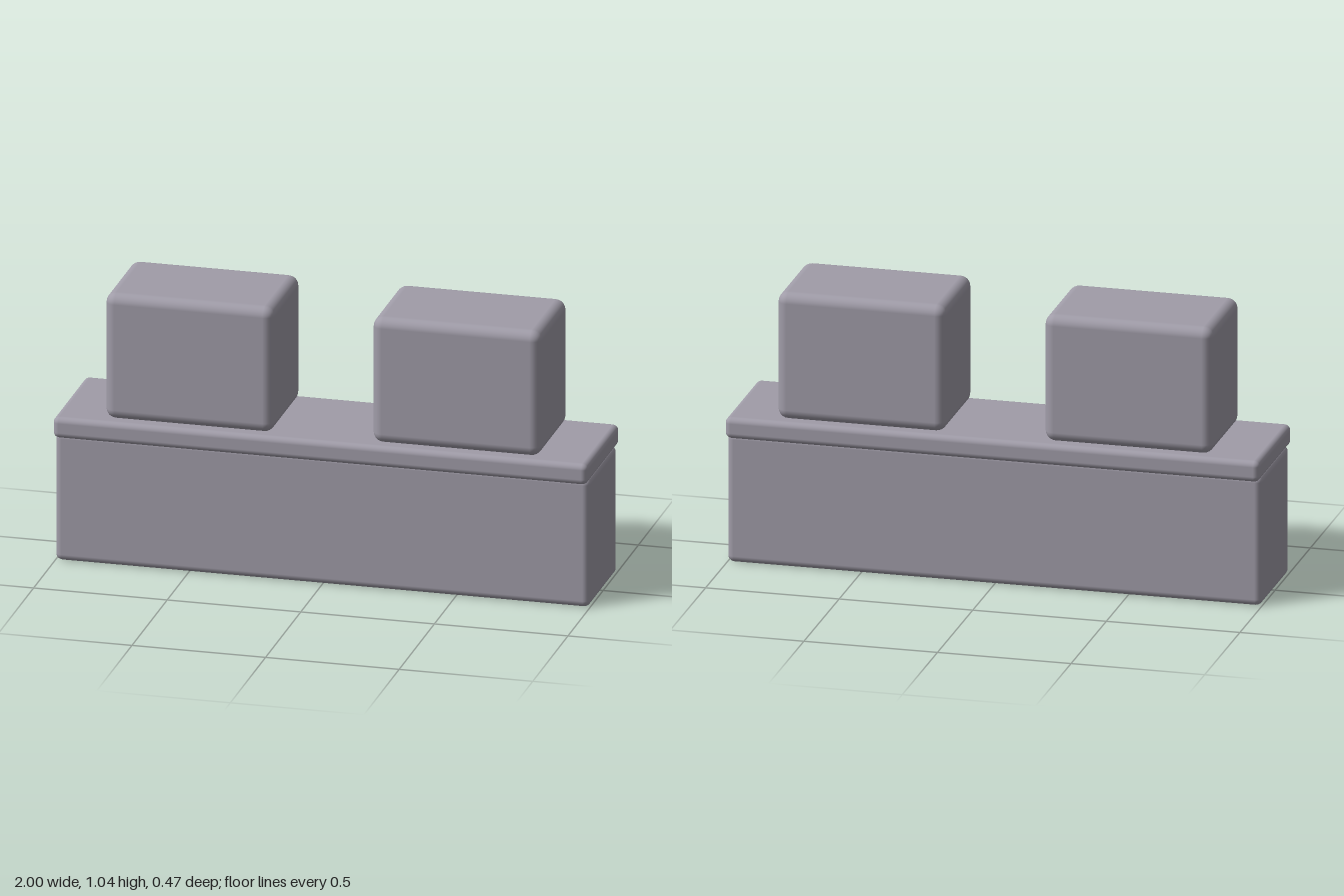
import * as THREE from 'three';
import { RoundedBoxGeometry } from 'three/addons/geometries/RoundedBoxGeometry.js';

export function createModel() {
  const group = new THREE.Group();
  const stone = new THREE.MeshStandardMaterial({ color: 0xa09ca8 });
  stone.name = 'greyStone';

  // Softly bevelled block standing on the given height
  function block(name, width, height, depth, radius, x, bottom) {
    const mesh = new THREE.Mesh(new RoundedBoxGeometry(width, height, depth, 3, radius), stone);
    mesh.name = name;
    mesh.position.set(x, bottom + height / 2, 0);
    group.add(mesh);
  }

  // Wall body and overhanging ledge
  block('wall', 2, 0.495, 0.4, 0.025, 0, 0);
  block('ledge', 2, 0.08, 0.466, 0.022, 0, 0.482);

  // Pair of battlement blocks
  for (const side of [-1, 1]) {
    block(side > 0 ? 'leftMerlon' : 'rightMerlon', 0.63, 0.482, 0.4, 0.038, side * 0.5, 0.56);
  }

  return group;
}
